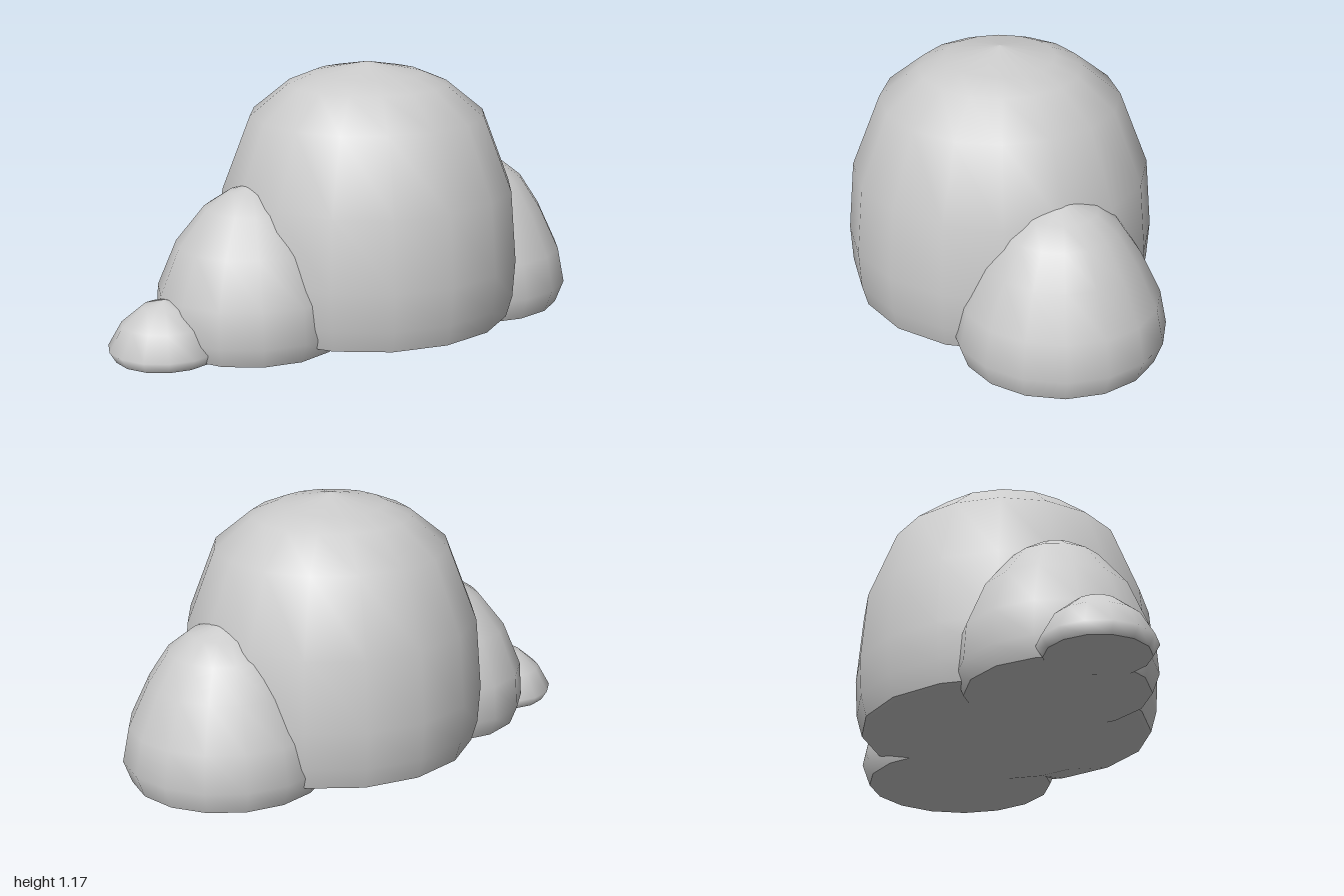
import * as THREE from 'three';

const material = new THREE.MeshStandardMaterial({ color: 0xcccccc });

// One rounded lobe: a smooth dome over a shallow bowl-shaped underside with a crisp rim.
// dome: [radius, height] pairs from the rim up to the apex
function lobe(name, x, z, sides, turn, dome, baseY) {
  const group = new THREE.Group();
  group.name = name;
  const rim = dome[0];
  const parts = {
    Dome: dome,
    Underside: [[0, baseY], [rim[0] * 0.6, baseY + (rim[1] - baseY) * 0.25], rim],
  };
  for (const [part, profile] of Object.entries(parts)) {
    const points = profile.map(([r, y]) => new THREE.Vector2(r, y));
    const mesh = new THREE.Mesh(new THREE.LatheGeometry(points, sides, turn), material);
    mesh.name = name + part;
    group.add(mesh);
  }
  group.position.set(x, 0, z);
  return group;
}

export function createModel() {
  const model = new THREE.Group();
  model.name = 'lobedMound';

  model.add(
    // tall central lobe
    lobe('centralLobe', 0.085, 0, 16, 0.085, [
      [0.61, 0.09], [0.635, 0.18], [0.645, 0.34], [0.62, 0.64], [0.5, 0.95],
      [0.34, 1.08], [0.23, 1.125], [0, 1.17],
    ], 0),
    // wide lobe at the back left
    lobe('backLeftLobe', 0.56, -0.27, 16, 0.1, [
      [0.405, 0.045], [0.44, 0.14], [0.41, 0.29], [0.325, 0.47],
      [0.24, 0.6], [0.15, 0.67], [0, 0.72],
    ], 0.015),
    // middle lobe at the front right
    lobe('frontRightLobe', -0.42, 0.27, 14, 0.1, [
      [0.37, 0.05], [0.4, 0.13], [0.39, 0.28], [0.31, 0.47],
      [0.19, 0.62], [0.09, 0.685], [0, 0.71],
    ], 0.015),
    // small outer lobe
    lobe('smallLobe', -0.775, 0.455, 14, 0.1, [
      [0.205, 0.045], [0.232, 0.09], [0.175, 0.19], [0.09, 0.26], [0, 0.285],
    ], 0.02),
  );
  return model;
}
